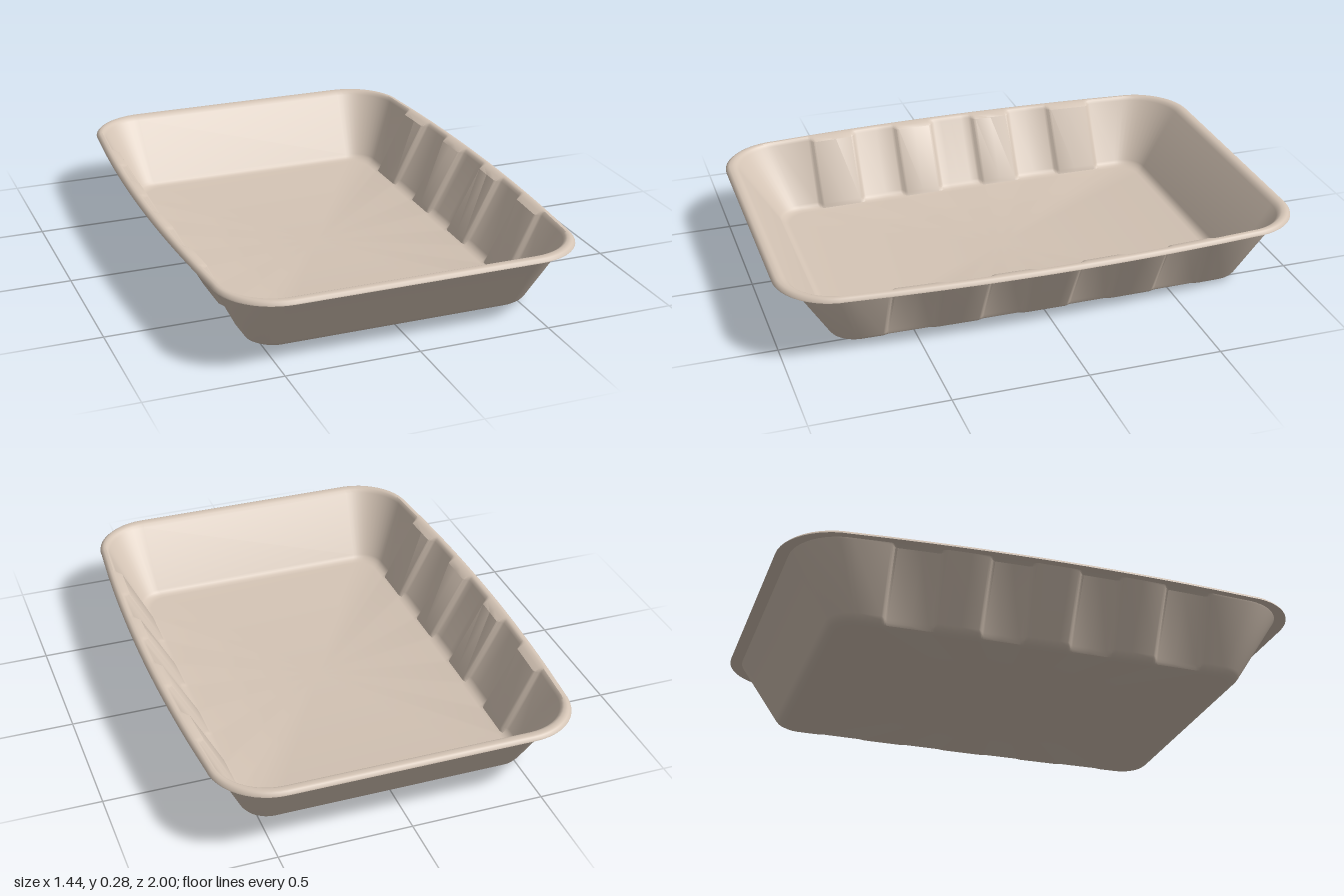
import * as THREE from 'three';
import { toCreasedNormals } from 'three/addons/utils/BufferGeometryUtils.js';

// z positions where the side walls step in or out
const STEPS = [0.09, 0.25, 0.43, 0.61];
const RIB_DEPTH = 0.021;
const CORNER_SEGMENTS = 12;

// how far a side wall panel is pushed inwards at z (0 = flush, 1 = full)
function inset(z) {
  const ramp = (e) => THREE.MathUtils.smoothstep(Math.abs(z), e - 0.014, e + 0.014);
  return ramp(STEPS[0]) - ramp(STEPS[1]) + ramp(STEPS[2]) - ramp(STEPS[3]);
}

// z samples along one side, dense around each step
const half = [0.045];
STEPS.forEach((e) => half.push(e - 0.014, e - 0.005, e + 0.005, e + 0.014, e + 0.08));
half.pop();
const SIDE_Z = [...half.map((z) => -z).reverse(), 0, ...half];

// one horizontal outline: bowed ribbed sides, rounded corners, straight ends
function ring([hx, hz, y, r, bow, rib]) {
  const zEnd = hz - r;
  const quarterTurn = [];
  for (let i = 0; i <= CORNER_SEGMENTS; i++) {
    const a = (i / CORNER_SEGMENTS) * Math.PI / 2;
    quarterTurn.push([hx - bow - r + r * Math.cos(a), zEnd + r * Math.sin(a)]);
  }
  const side = SIDE_Z.map((z) => [hx - bow * (z / zEnd) ** 2 - RIB_DEPTH * rib * inset(z), z]);
  const halfLoop = [...side, ...quarterTurn, ...quarterTurn.map(([x, z]) => [-x, z]).reverse()];
  // the other half is the same outline turned by 180 degrees
  return [...halfLoop, ...halfLoop.map(([x, z]) => [-x, -z])]
    .map(([x, z]) => new THREE.Vector3(x, y, z));
}

// shell section from the underside, up the outside, over the rim and down inside
// [half width, half length, y, corner radius, side bow, rib strength]
const SECTION = [
  [0.512, 0.768, 0.000, 0.085, 0.004, 0],
  [0.532, 0.787, 0.005, 0.092, 0.006, 0.3],
  [0.549, 0.799, 0.015, 0.098, 0.008, 0.8],
  [0.557, 0.806, 0.026, 0.100, 0.009, 1],
  [0.684, 0.947, 0.255, 0.190, 0.028, 1],
  [0.688, 0.952, 0.261, 0.195, 0.030, 0.5],
  [0.720, 1.000, 0.260, 0.225, 0.035, 0],
  [0.719, 0.999, 0.264, 0.225, 0.035, 0],
  [0.711, 0.991, 0.272, 0.220, 0.034, 0],
  [0.705, 0.984, 0.275, 0.215, 0.034, 0],
  [0.694, 0.968, 0.275, 0.205, 0.032, 0],
  [0.686, 0.957, 0.270, 0.198, 0.030, 0.4],
  [0.679, 0.945, 0.260, 0.190, 0.028, 1],
  [0.553, 0.801, 0.030, 0.098, 0.009, 1],
  [0.545, 0.794, 0.021, 0.095, 0.008, 0.8],
  [0.530, 0.781, 0.012, 0.090, 0.006, 0.3],
  [0.512, 0.764, 0.009, 0.082, 0.004, 0],
];

function shellGeometry() {
  const rings = SECTION.map(ring);
  const n = rings[0].length;
  const pos = [];
  const tri = (...pts) => pts.forEach((p) => pos.push(p.x * 100, p.y * 100, p.z * 100));
  const underside = new THREE.Vector3(0, rings[0][0].y, 0);
  const floor = new THREE.Vector3(0, rings.at(-1)[0].y, 0);

  for (let i = 0; i < n; i++) {
    const j = (i + 1) % n;
    // flat underside and flat inner floor
    tri(underside, rings[0][i], rings[0][j]);
    tri(floor, rings.at(-1)[j], rings.at(-1)[i]);
    // walls and rim
    for (let k = 0; k < rings.length - 1; k++) {
      const a = rings[k], b = rings[k + 1];
      tri(a[i], b[i], b[j]);
      tri(a[i], b[j], a[j]);
    }
  }
  const geometry = new THREE.BufferGeometry();
  geometry.setAttribute('position', new THREE.Float32BufferAttribute(pos, 3));
  // normals are found at a large scale so that close vertices stay distinct
  return toCreasedNormals(geometry, 0.6).scale(0.01, 0.01, 0.01);
}

export function createModel() {
  const group = new THREE.Group();
  group.name = 'foodTray';
  const material = new THREE.MeshStandardMaterial({ color: 0xd3c3b4 });
  material.name = 'beige plastic';
  const tray = new THREE.Mesh(shellGeometry(), material);
  tray.name = 'trayShell';
  group.add(tray);
  return group;
}
